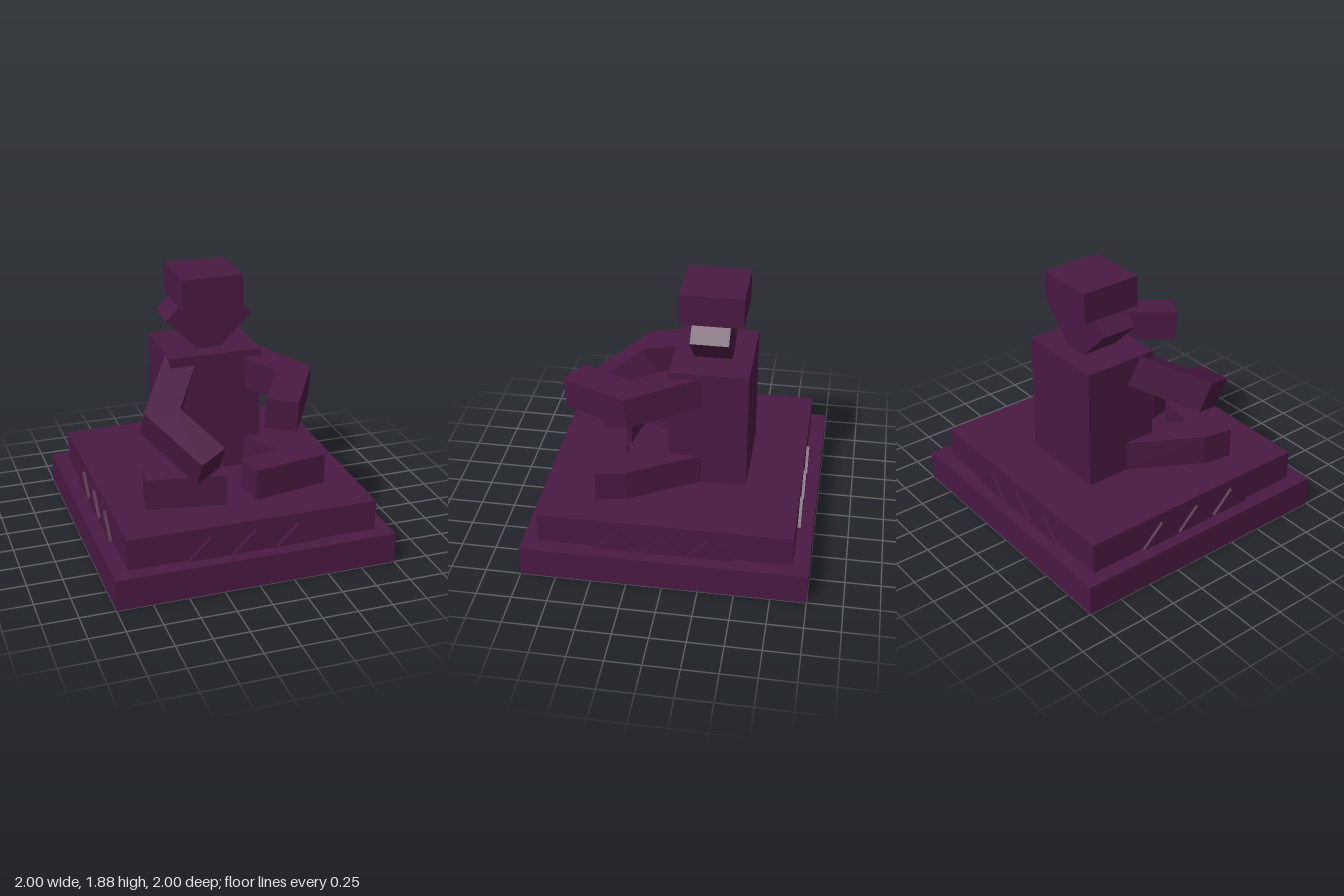
import * as THREE from 'three';

const material = new THREE.MeshStandardMaterial({ color: 0x4a1942, flatShading: true });
const W = 0.222; // limb thickness
const L = 0.555; // limb segment length
const deg = THREE.MathUtils.degToRad;

function box(name, w, h, d, x, y, z) {
  const mesh = new THREE.Mesh(new THREE.BoxGeometry(w, h, d), material);
  mesh.name = name;
  mesh.position.set(x, y, z);
  return mesh;
}

// Limb segment whose outer edge passes through its origin; dir = 1 runs forward, -1 backward
function segment(name, side, angle, dir) {
  const geometry = new THREE.BoxGeometry(W, W, L);
  geometry.translate(-side * W / 2, 0, dir * L / 2);
  const mesh = new THREE.Mesh(geometry, material);
  mesh.name = name;
  mesh.rotation.y = side * deg(angle);
  return mesh;
}

// Arm bent at the elbow, tilted downward as a whole
function arm(name, side, y, tilt) {
  const group = new THREE.Group();
  group.name = name;
  group.add(segment('upperArm', side, 30, -1), segment('forearm', side, -30, 1));
  group.position.set(side * 0.612, y, 0.303);
  group.rotation.x = deg(tilt);
  return group;
}

// Crossed leg resting on the pedestal
function leg(name, side) {
  const group = new THREE.Group();
  group.name = name;
  const thigh = segment('thigh', side, 30, -1);
  thigh.position.set(side * 0.612, 0, 0.305);
  const shin = segment('shin', side, -80, 1);
  shin.position.set(side * 0.655, 0, 0.522);
  group.add(thigh, shin);
  group.position.y = 0.556;
  return group;
}

// Three half-sunk diamonds on each side of the upper step
function ornaments() {
  const group = new THREE.Group();
  group.name = 'pedestalOrnaments';
  for (let i = 0; i < 4; i++) {
    const row = new THREE.Group();
    row.name = 'diamondRow';
    row.rotation.y = i * Math.PI / 2;
    for (const x of [-0.315, 0, 0.315]) {
      const diamond = box('diamond', W, W, W, x, 0.222, 0.911 - W / 2);
      diamond.rotation.z = Math.PI / 4;
      row.add(diamond);
    }
    group.add(row);
  }
  return group;
}

export function createModel() {
  const model = new THREE.Group();
  model.name = 'seatedStatue';

  // Stepped pedestal
  model.add(
    box('lowerStep', 2, 0.222, 2, 0, 0.111, 0),
    box('upperStep', 1.778, 0.222, 1.778, 0, 0.333, 0),
    ornaments()
  );

  // Torso, angular jaw and head
  const jaw = box('jaw', 0.444, 0.444, 0.266, 0, 1.56, -0.222);
  jaw.rotation.z = Math.PI / 4;
  model.add(
    box('torso', 0.667, 0.889, 0.556, 0, 0.889, -0.222),
    jaw,
    box('head', 0.444, 0.222, 0.444, 0, 1.764, -0.222)
  );

  // Limbs
  model.add(
    arm('leftArm', 1, 1.15, 5),
    arm('rightArm', -1, 0.993, 30),
    leg('leftLeg', 1),
    leg('rightLeg', -1)
  );
  return model;
}
